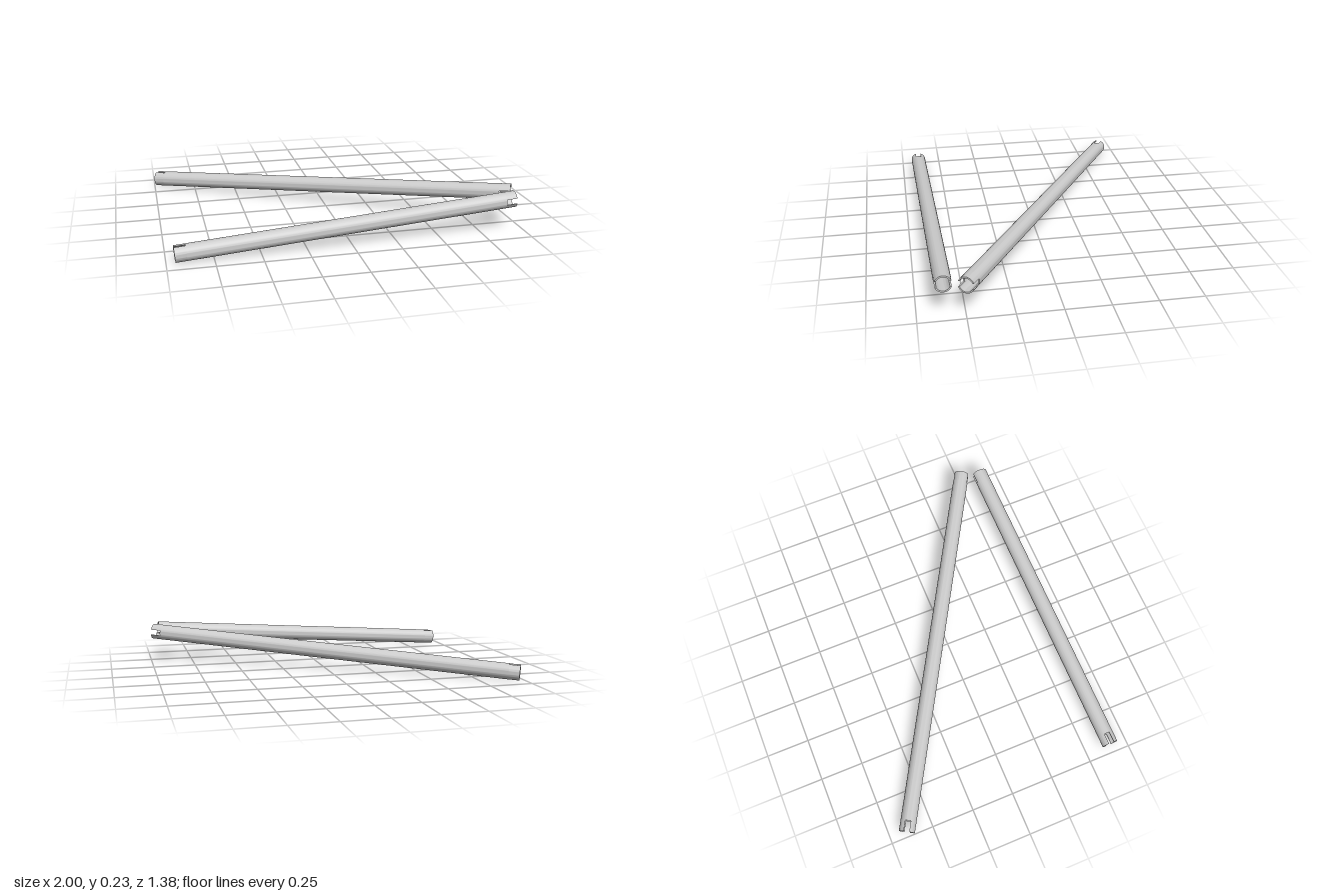
import * as THREE from 'three';
import { toCreasedNormals } from 'three/addons/utils/BufferGeometryUtils.js';

const R = 0.046;        // outer radius
const BORE = 0.038;     // inner radius
const SLOT_HALF = 0.016; // half the slot width
const SLOT_DEPTH = 0.062;

const material = new THREE.MeshStandardMaterial({ color: 0xcccccc });

// Extrude a cross-section along +z from z0 to z1
function extrude(shape, z0, z1, curveSegments) {
  const geometry = new THREE.ExtrudeGeometry(shape, { depth: z1 - z0, curveSegments, bevelEnabled: false });
  geometry.translate(0, 0, z0);
  return toCreasedNormals(geometry, 0.6);
}

// Full ring section of the pipe
function ringShape() {
  const shape = new THREE.Shape().absarc(0, 0, R, 0, Math.PI * 2);
  shape.holes.push(new THREE.Path().absarc(0, 0, BORE, 0, Math.PI * 2, true));
  return shape;
}

// Half ring around the given direction, with parallel slot faces at both ends
function prongShape(direction) {
  const outer = Math.PI / 2 - Math.asin(SLOT_HALF / R);
  const inner = Math.PI / 2 - Math.asin(SLOT_HALF / BORE);
  const shape = new THREE.Shape();
  shape.absarc(0, 0, R, direction - outer, direction + outer);
  shape.absarc(0, 0, BORE, direction + inner, direction - inner, true);
  shape.closePath();
  return shape;
}

// Hollow pipe whose two ends are slotted at right angles to each other
function slottedPipe(name, low, high) {
  const pipe = new THREE.Group();
  pipe.name = name;
  const length = low.distanceTo(high);
  const add = (part, geometry) => {
    const mesh = new THREE.Mesh(geometry, material);
    mesh.name = part;
    pipe.add(mesh);
  };

  add('pipeBody', extrude(ringShape(), SLOT_DEPTH, length - SLOT_DEPTH, 32));
  for (const side of [0, 1]) {
    // low end: slot through top and bottom
    add('lowEndProng', extrude(prongShape(side * Math.PI), 0, SLOT_DEPTH, 14));
    // high end: slot through the sides
    add('highEndProng', extrude(prongShape(Math.PI / 2 + side * Math.PI), length - SLOT_DEPTH, length, 14));
  }

  pipe.position.copy(low);
  pipe.lookAt(high);
  return pipe;
}

export function createModel() {
  const model = new THREE.Group();
  model.name = 'slottedPipes';
  model.add(
    slottedPipe('frontPipe', new THREE.Vector3(-0.955, 0.045, 0.643), new THREE.Vector3(0.945, 0.182, 0.608)),
    slottedPipe('rearPipe', new THREE.Vector3(-0.977, 0.045, -0.65), new THREE.Vector3(0.977, 0.184, 0.497))
  );
  return model;
}
